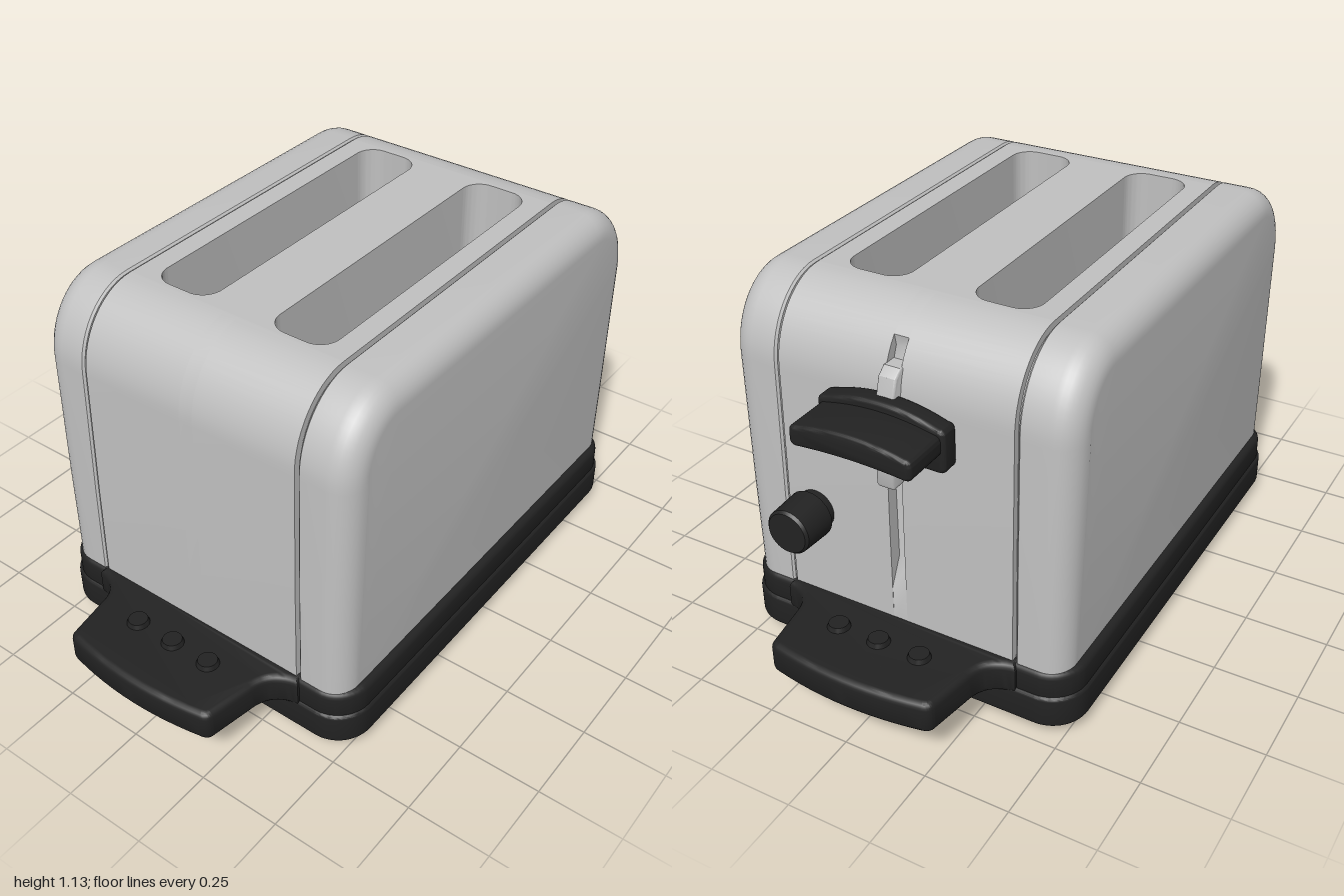
import * as THREE from 'three';
import { toCreasedNormals } from 'three/addons/utils/BufferGeometryUtils.js';

const steel = new THREE.MeshStandardMaterial({ color: 0xc0c0c0 });
steel.name = 'brushed steel';
const black = new THREE.MeshStandardMaterial({ color: 0x222222 });
black.name = 'black plastic';

const V = (x, y) => new THREE.Vector2(x, y);
const CORNER_X = 0.5, CORNER_Y = 0.9, TOP = 1.13, BOTTOM = 0.19, FLOOR = 0.35;

function add(parent, name, geometry, material, x = 0, y = 0, z = 0) {
  const mesh = new THREE.Mesh(geometry, material);
  mesh.name = name;
  mesh.position.set(x, y, z);
  parent.add(mesh);
  return mesh;
}

// Extrusion along +z from 0 to depth; the bevel stays inside the outline.
function extrude(shape, depth, bevel = 0) {
  return toCreasedNormals(new THREE.ExtrudeGeometry(shape, {
    depth: depth - 2 * bevel, curveSegments: 12, bevelEnabled: bevel > 0,
    bevelThickness: bevel, bevelSize: bevel, bevelOffset: -bevel, bevelSegments: 4,
  }).translate(0, 0, bevel), 0.6);
}
const slab = (shape, y0, y1, bevel) => extrude(shape, y1 - y0, bevel).rotateX(-Math.PI / 2).translate(0, y0, 0);
const alongX = (shape, x0, x1, bevel) => extrude(shape, x1 - x0, bevel).rotateY(Math.PI / 2).translate(x0, 0, 0);

function roundedRect(w, h, r, cx = 0, cy = 0, Type = THREE.Shape) {
  const s = new Type(), x = w / 2, y = h / 2;
  s.absarc(cx + x - r, cy - y + r, r, -Math.PI / 2, 0);
  s.absarc(cx + x - r, cy + y - r, r, 0, Math.PI / 2);
  s.absarc(cx - x + r, cy + y - r, r, Math.PI / 2, Math.PI);
  s.absarc(cx - x + r, cy - y + r, r, Math.PI, Math.PI * 1.5);
  s.closePath();
  return s;
}

// Right half of the body outline, from the top flat down to the base.
function halfProfile(inset = 0) {
  const pts = [];
  for (let i = 0; i <= 14; i++) {
    const a = Math.PI / 2 * (1 - i / 14);
    pts.push(V(CORNER_X + (0.2 - inset) * Math.cos(a), CORNER_Y + (TOP - CORNER_Y - inset) * Math.sin(a)));
  }
  pts.push(V(0.712 - inset, 0.5), V(0.718 - inset, BOTTOM));
  return pts;
}
const mirrored = (pts) => pts.map((p) => V(-p.x, p.y)).reverse();
const profile = (inset) => [...mirrored(halfProfile(inset)), ...halfProfile(inset)];

// Closed loft through [z, inset] sections of the body outline.
function loft(sections) {
  const pos = [], index = [], n = profile(0).length;
  for (const [z, inset] of sections) {
    for (const p of profile(inset)) {
      const lean = z > 0.4 ? 0.014 * Math.max(0, (0.9 - p.y) / 0.7) : 0;
      pos.push(p.x, p.y, z - lean);
    }
  }
  for (let i = 0; i < sections.length - 1; i++) {
    for (let j = 0; j < n; j++) {
      const a = i * n + j, b = i * n + (j + 1) % n;
      index.push(a, a + n, b, b, a + n, b + n);
    }
  }
  const last = (sections.length - 1) * n;
  for (let j = 1; j < n - 1; j++) {
    index.push(0, j, j + 1, last, last + j + 1, last + j);
  }
  const g = new THREE.BufferGeometry();
  g.setAttribute('position', new THREE.Float32BufferAttribute(pos, 3));
  g.setIndex(index);
  return toCreasedNormals(g, 0.6);
}

function addBody(root) {
  const body = new THREE.Group();
  body.name = 'body';
  root.add(body);

  // Rounded front and back shells
  const sections = [[0.362, 0.006], [0.368, 0]];
  for (let i = 0; i <= 8; i++) {
    const a = Math.PI / 2 * i / 8;
    sections.push([0.445 + 0.075 * Math.sin(a), 0.075 * (1 - Math.cos(a))]);
  }
  add(body, 'frontShell', loft(sections), steel);
  add(body, 'backShell', loft(sections), steel).rotation.y = Math.PI;

  // Recessed seams behind the shells
  for (const z of [-0.372, 0.342]) {
    add(body, 'seam', extrude(new THREE.Shape(profile(0.02)), 0.03), steel, 0, 0, z);
  }

  // Centre band, open at the top, with the lever groove in its right-hand end
  const half = halfProfile(), left = mirrored(half);
  const pit = [V(-CORNER_X, FLOOR), V(CORNER_X, FLOOR)];
  const band = new THREE.Shape([...left, ...pit, ...half]);
  const grooved = half.filter((p) => p.y > 1.05);
  grooved.push(V(0.635, 1.03), V(0.66, 0.97), V(0.67, 0.8), V(0.675, 0.4), V(0.714, 0.32), V(0.718, BOTTOM));
  const grooveBand = new THREE.Shape([...left, ...pit, ...grooved]);
  const W = 0.353, G = 0.022;
  add(body, 'centreBand', extrude(band, W - G), steel, 0, 0, G);
  add(body, 'centreBand', extrude(band, W - G), steel, 0, 0, -W);
  add(body, 'leverGroove', extrude(grooveBand, 2 * G), steel, 0, 0, -G);

  // Top with two bread slots
  const top = new THREE.Shape([V(-CORNER_X, -W), V(CORNER_X, -W), V(CORNER_X, W), V(-CORNER_X, W)]);
  for (const z of [-0.193, 0.193]) {
    top.holes.push(roundedRect(0.975, 0.19, 0.06, 0, z, THREE.Path));
  }
  add(body, 'slottedTop', slab(top, FLOOR, TOP), steel);
}

function addBase(root) {
  const base = new THREE.Group();
  base.name = 'base';
  root.add(base);
  add(base, 'lowerBase', slab(roundedRect(1.47, 1.07, 0.11), 0.04, 0.14, 0.012), black);
  add(base, 'upperBase', slab(roundedRect(1.455, 1.055, 0.105), 0.1, 0.217, 0.02), black);

  // Carrying handles with three raised dots
  const s = new THREE.Shape();
  s.moveTo(0.66, -0.37);
  s.lineTo(0.735, -0.37);
  s.quadraticCurveTo(0.745, -0.29, 0.82, -0.28);
  s.lineTo(0.95, -0.258);
  s.quadraticCurveTo(0.972, -0.255, 0.977, -0.23);
  s.quadraticCurveTo(1.023, 0, 0.977, 0.23);
  s.quadraticCurveTo(0.972, 0.255, 0.95, 0.258);
  s.lineTo(0.82, 0.28);
  s.quadraticCurveTo(0.745, 0.29, 0.735, 0.37);
  s.lineTo(0.66, 0.37);
  const handleGeometry = slab(s, 0.12, 0.218, 0.02);
  const dot = toCreasedNormals(new THREE.CylinderGeometry(0.028, 0.035, 0.02, 24), 0.6);
  for (const side of ['right', 'left']) {
    const handle = new THREE.Group();
    handle.name = side + 'Handle';
    handle.rotation.y = side === 'left' ? 0 : Math.PI;
    add(handle, 'grip', handleGeometry, black);
    for (const z of [-0.13, 0, 0.13]) add(handle, 'gripDot', dot, black, 0.825, 0.222, z);
    base.add(handle);
  }

  // Feet
  const foot = new THREE.LatheGeometry([V(0, 0), V(0.034, 0), V(0.041, 0.008), V(0.044, 0.05)], 24);
  for (const x of [-0.605, 0.605]) {
    for (const z of [-0.42, 0.42]) add(base, 'foot', toCreasedNormals(foot, 0.6), black, x, 0, z);
  }
}

// Outline in the y-z plane with an arched top edge.
function archShape(w, y0, ySide, yMid, sag) {
  const s = new THREE.Shape(), r = 0.02;
  s.moveTo(-w + r, y0);
  s.quadraticCurveTo(0, y0 + 2 * sag, w - r, y0);
  s.quadraticCurveTo(w, y0, w, y0 + r);
  s.lineTo(w, ySide - r);
  s.quadraticCurveTo(w, ySide, w - r, ySide);
  s.quadraticCurveTo(0, 2 * yMid - ySide, -w + r, ySide);
  s.quadraticCurveTo(-w, ySide, -w, ySide - r);
  s.lineTo(-w, y0 + r);
  s.quadraticCurveTo(-w, y0, -w + r, y0);
  return s;
}

function addControls(root) {
  // Lever: steel stem, arched plate and projecting thumb rest
  const lever = new THREE.Group();
  lever.name = 'lever';
  root.add(lever);
  const stem = new THREE.Shape([V(0.65, 0.67), V(0.745, 0.67), V(0.75, 0.68), V(0.748, 0.78),
    V(0.73, 0.93), V(0.715, 0.98), V(0.69, 1.0), V(0.65, 1.0)]);
  add(lever, 'leverStem', extrude(stem, 0.054, 0.006), steel, 0, 0, -0.027);
  add(lever, 'leverPlate', alongX(archShape(0.19, 0.775, 0.902, 0.932, 0), 0.7, 0.76, 0.012), black);
  add(lever, 'leverThumbRest', alongX(archShape(0.18, 0.828, 0.888, 0.907, 0.008), 0.745, 0.895, 0.012), black);

  // Browning dial
  const dial = new THREE.LatheGeometry([V(0, 0), V(0.058, 0), V(0.058, 0.035), V(0.071, 0.04),
    V(0.067, 0.137), V(0.06, 0.145), V(0, 0.145)], 32).rotateZ(-Math.PI / 2);
  add(root, 'browningDial', toCreasedNormals(dial, 0.6), black, 0.7, 0.495, 0.262);
}

export function createModel() {
  const root = new THREE.Group();
  root.name = 'toaster';
  addBody(root);
  addBase(root);
  addControls(root);
  return root;
}
